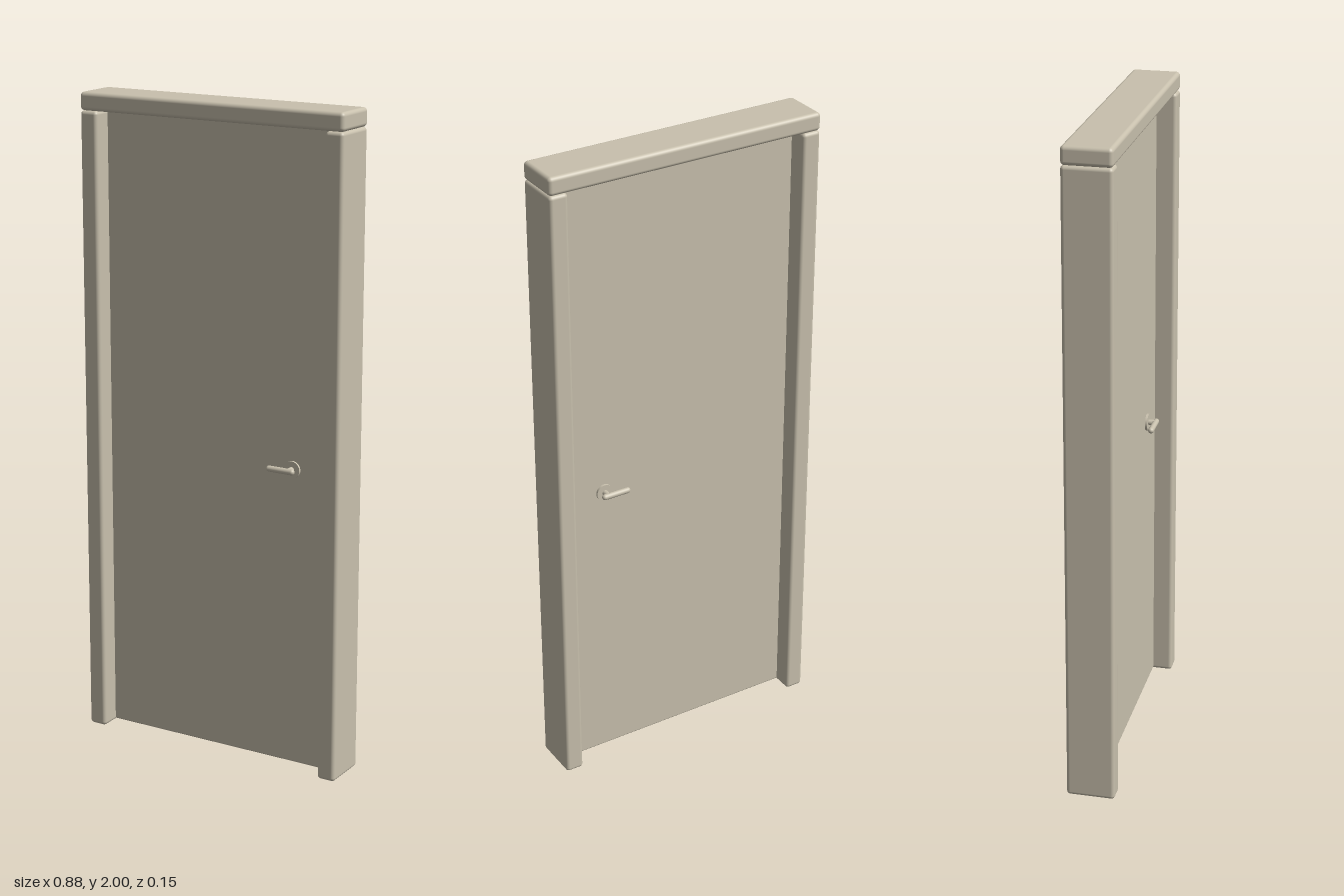
import * as THREE from 'three';
import { RoundedBoxGeometry } from 'three/addons/geometries/RoundedBoxGeometry.js';

export function createModel() {
  const group = new THREE.Group();
  const beige = new THREE.MeshStandardMaterial({ color: 0xc8c0ad });
  beige.name = 'beige';

  const add = (parent, name, geometry, x, y, z) => {
    const mesh = new THREE.Mesh(geometry, beige);
    mesh.name = name;
    mesh.position.set(x, y, z);
    parent.add(mesh);
    return mesh;
  };
  const box = (name, w, h, d, r, x, y) =>
    add(group, name, new RoundedBoxGeometry(w, h, d, 4, r), x, y, 0);

  // Frame: two jambs with the lintel resting on them
  const depth = 0.147, top = 1.945;
  box('leftJamb', 0.058, top, depth, 0.011, 0.411, top / 2);
  box('rightJamb', 0.058, top, depth, 0.011, -0.411, top / 2);
  box('lintel', 0.882, 0.055, depth, 0.012, 0, 1.9725);

  // Door leaf, set in the middle of the frame depth
  const half = 0.014;
  box('doorLeaf', 0.768, 1.94, half * 2, 0.006, -0.002, 0.975);

  // Lever handle on each face, both levers pointing away from the latch edge
  for (const side of [1, -1]) {
    const handle = new THREE.Group();
    handle.name = side > 0 ? 'frontHandle' : 'backHandle';
    handle.position.set(0.257, 0.934, side * half);
    group.add(handle);
    const rose = add(handle, 'rose', new THREE.CylinderGeometry(0.026, 0.026, 0.008, 32), 0, 0, side * 0.003);
    rose.rotation.x = Math.PI / 2;
    const neck = add(handle, 'neck', new THREE.CylinderGeometry(0.009, 0.009, 0.03, 20), 0, 0, side * 0.015);
    neck.rotation.x = Math.PI / 2;
    const lever = add(handle, 'lever', new THREE.CapsuleGeometry(0.009, 0.076, 6, 20), -0.026, 0, side * 0.028);
    lever.rotation.z = Math.PI / 2;
  }
  return group;
}
